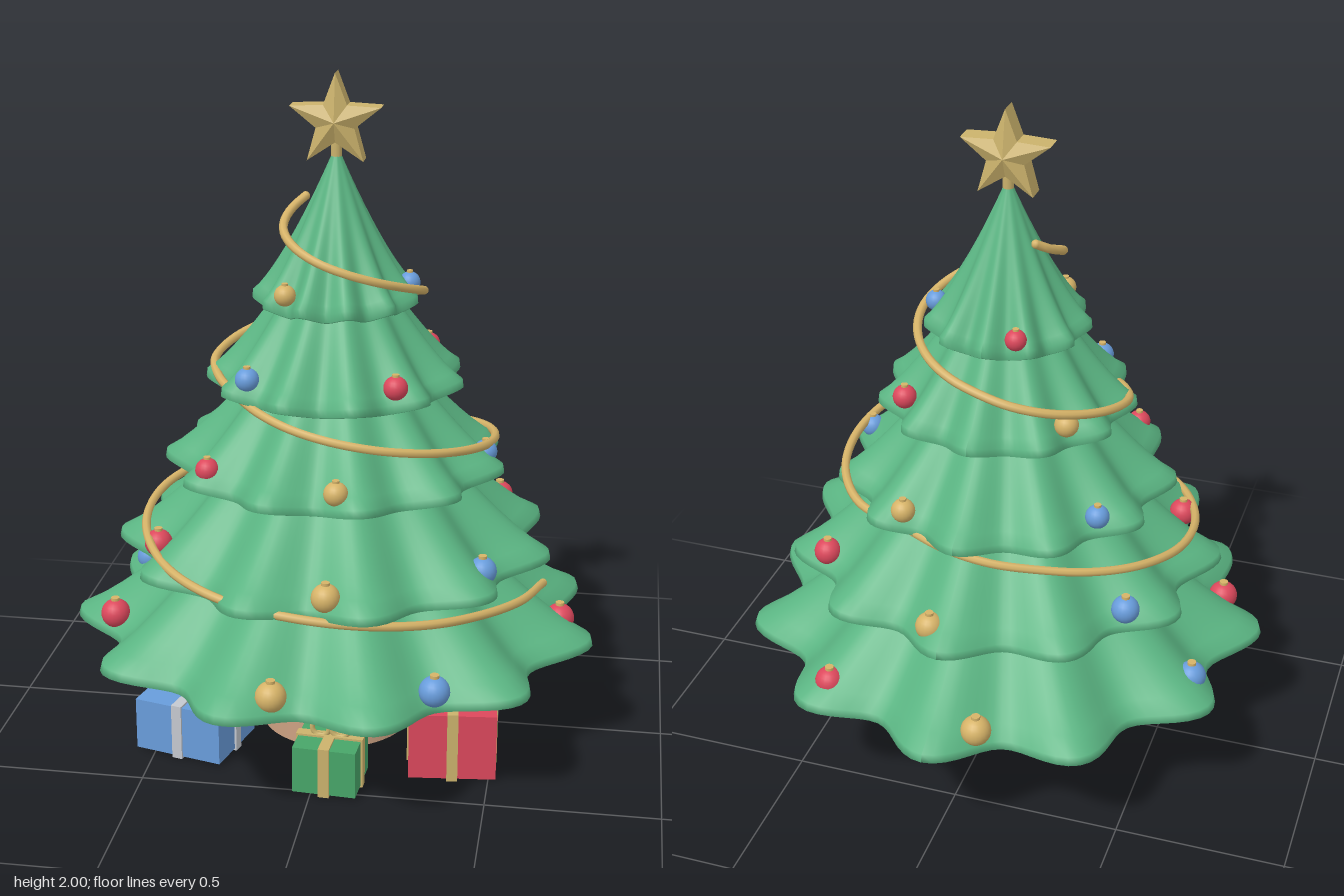
import * as THREE from 'three';

const mat = (name, color) => {
  const m = new THREE.MeshStandardMaterial({ color });
  m.name = name;
  return m;
};

export function createModel() {
  const green = mat('fir green', 0x5ab482);
  const boxGreen = mat('gift green', 0x48a569);
  const brown = mat('wood brown', 0xc39a7c);
  const gold = mat('gold', 0xd6b368);
  const starGold = mat('star gold', 0xcbb26c);
  const red = mat('red', 0xdc485c);
  const blue = mat('blue', 0x689cdb);
  const silver = mat('silver', 0xc4c8cf);

  const root = new THREE.Group();
  root.name = 'decoratedTree';
  const add = (name, geo, material, x = 0, y = 0, z = 0, parent = root) => {
    const m = new THREE.Mesh(geo, material);
    m.name = name;
    m.position.set(x, y, z);
    parent.add(m);
    return m;
  };
  const axisZ = 0.015; // the tree stands slightly forward of the middle

  // Branch tiers: flared skirts with pleats ending in lobes, closed by a shallow underside
  const lobes = 11;
  const tiers = [
    // hem y, mean radius, ripple, height
    [0.342, 0.73, 0.06, 0.72],
    [0.602, 0.607, 0.047, 0.67],
    [0.857, 0.473, 0.036, 0.58],
    [1.107, 0.355, 0.027, 0.52],
    [1.347, 0.225, 0.019, 0.435],
  ];
  tiers.forEach(([y0, r, ripple, h], i) => {
    const steps = 14, pts = [];
    for (let k = 0; k <= steps; k++) {           // underside, centre to hem
      const t = k / steps;
      pts.push(new THREE.Vector2(Math.max(0.001, r * t * 0.98), -0.012 + 0.1 * h * (1 - t)));
    }
    pts.push(new THREE.Vector2(r, -0.008));
    for (let k = steps; k >= 0; k--) {           // upper side, hem to tip
      const t = k / steps;
      pts.push(new THREE.Vector2(Math.max(0.001, r * t * 0.992), 0.016 + h * Math.pow(1 - t, 1.2)));
    }
    const geo = new THREE.LatheGeometry(pts, lobes * 14, Math.PI, Math.PI * 2);
    const p = geo.attributes.position;
    for (let k = 0; k < p.count; k++) {
      const x = p.getX(k), z = p.getZ(k), t = Math.hypot(x, z) / r;
      const wave = Math.cos(lobes * (Math.atan2(x, z) - Math.PI));
      const s = 1 + (ripple * wave * Math.pow(t, 1.2)) / r;
      p.setXYZ(k, x * s, p.getY(k) + 0.01 * wave * t * t, z * s);
    }
    geo.computeVertexNormals();
    add('branchTier' + (i + 1), geo, green, 0, y0, axisZ);
  });

  // Trunk and pot
  add('trunk', new THREE.CylinderGeometry(0.06, 0.06, 0.16, 24), brown, 0, 0.36, axisZ);
  add('pot', new THREE.CylinderGeometry(0.195, 0.23, 0.27, 40), brown, 0, 0.14, axisZ);
  const rim = [[0.001, 0.262], [0.235, 0.262], [0.247, 0.27], [0.251, 0.285], [0.247, 0.3], [0.235, 0.308], [0.001, 0.308]];
  add('potRim', new THREE.LatheGeometry(rim.map(([x, y]) => new THREE.Vector2(x, y)), 40), brown, 0, 0, axisZ);
  const band = add('potBand', new THREE.TorusGeometry(0.214, 0.015, 10, 48), gold, 0, 0.24, axisZ);
  band.rotation.x = Math.PI / 2;

  // Garland spiralling down the tree: [angle from the front, radius]
  const turns = [[-115, 0.11], [-60, 0.165], [0, 0.21], [90, 0.25], [180, 0.275], [270, 0.365], [315, 0.335],
    [360, 0.375], [450, 0.465], [490, 0.49], [515, 0.42], [540, 0.42], [575, 0.43], [630, 0.555],
    [690, 0.62], [720, 0.6], [780, 0.585], [810, 0.625]];
  const path = [];
  for (let a = -115; a <= 810; a += 18.5) {
    let k = 0;
    while (k < turns.length - 2 && a > turns[k + 1][0]) k++;
    const [a0, r0] = turns[k], [a1, r1] = turns[k + 1];
    const r = r0 + (r1 - r0) * (a - a0) / (a1 - a0);
    const q = a * Math.PI / 180;
    path.push(new THREE.Vector3(r * Math.sin(q), 1.63 - (a + 115) * 0.001243, r * Math.cos(q)));
  }
  add('garland', new THREE.TubeGeometry(new THREE.CatmullRomCurve3(path), 260, 0.013, 8), gold);
  [path[0], path[path.length - 1]].forEach((v) =>
    add('garlandEnd', new THREE.SphereGeometry(0.013, 10, 8), gold, v.x, v.y, v.z));

  // Baubles, each with a small gold cap: height, radius, then [x, z, colour]
  const baubles = [
    [0.393, 0.044, [[-0.08, 0.68, gold], [0.36, 0.58, blue], [0.68, 0.05, red], [-0.64, 0.22, red],
      [-0.64, -0.215, blue], [-0.12, -0.65, gold], [0.36, -0.565, red]]],
    [0.648, 0.041, [[0.055, 0.57, gold], [0.465, 0.32, blue], [-0.49, 0.26, red],
      [-0.455, -0.3, blue], [0.05, -0.55, gold], [0.47, -0.285, red]]],
    [0.908, 0.035, [[0.065, 0.45, gold], [-0.325, 0.32, red], [-0.35, -0.245, blue],
      [0.185, -0.385, gold], [0.445, 0.045, blue]]],
    [1.16, 0.035, [[0.205, 0.26, red], [-0.22, 0.25, blue], [-0.24, -0.195, gold], [0.25, -0.18, red]]],
    [1.395, 0.031, [[-0.12, 0.19, gold], [0.21, -0.01, blue], [-0.085, -0.18, red]]],
  ];
  for (const [y, r, list] of baubles) for (const [x, z, c] of list) {
    const g = new THREE.Group();
    g.name = 'bauble';
    g.position.set(x, y, z);
    root.add(g);
    add('ball', new THREE.SphereGeometry(r, 20, 14), c, 0, 0, 0, g);
    add('cap', new THREE.CylinderGeometry(r * 0.3, r * 0.3, r * 0.3, 12), gold, 0, r, 0, g);
  }

  // Star: five points, raised to a peak at the middle of each face
  const outline = [];
  for (let k = 0; k < 10; k++) {
    const a = Math.PI / 2 + k * Math.PI / 5, r = k % 2 ? 0.058 : 0.137;
    outline.push([r * Math.cos(a), r * Math.sin(a)]);
  }
  const v = [], e = 0.03, peak = 0.055;
  outline.forEach(([x, y], k) => {
    const [X, Y] = outline[(k + 1) % 10];
    v.push(0, 0, peak, x, y, e, X, Y, e);
    v.push(0, 0, -peak, X, Y, -e, x, y, -e);
    v.push(x, y, e, x, y, -e, X, Y, -e, x, y, e, X, Y, -e, X, Y, e);
  });
  const star = new THREE.BufferGeometry();
  star.setAttribute('position', new THREE.Float32BufferAttribute(v, 3));
  star.computeVertexNormals();
  add('star', star, starGold, 0, 1.863, axisZ);
  add('starStem', new THREE.CylinderGeometry(0.016, 0.016, 0.1, 12), starGold, 0, 1.79, axisZ);

  // Presents: wrapped box, two crossing ribbons and a two-loop bow
  const present = (name, c, ribbon, x, z, w, h, d, turn, loop) => {
    const g = new THREE.Group();
    g.name = name;
    g.position.set(x, 0.008, z);
    g.rotation.y = turn;
    root.add(g);
    const t = 0.012, rw = 0.032;
    add('box', new THREE.BoxGeometry(w, h, d), c, 0, h / 2, 0, g);
    add('ribbonLengthwise', new THREE.BoxGeometry(rw, h + t, d + t), ribbon, 0, h / 2, 0, g);
    add('ribbonCrosswise', new THREE.BoxGeometry(w + t, h + t, rw), ribbon, 0, h / 2, 0, g);
    for (const s of [-1, 1]) {
      add('bowLoop', new THREE.TorusGeometry(loop, 0.008, 8, 24), ribbon, s * loop * 1.15, h + loop, 0, g);
    }
  };
  present('bluePresent', blue, silver, -0.395, 0.25, 0.275, 0.16, 0.24, -0.25, 0.025);
  present('redPresent', red, starGold, 0.383, 0.25, 0.255, 0.203, 0.255, 0.1, 0.028);
  present('greenPresent', boxGreen, starGold, 0.047, 0.435, 0.185, 0.142, 0.18, -0.07, 0.025);

  return root;
}
